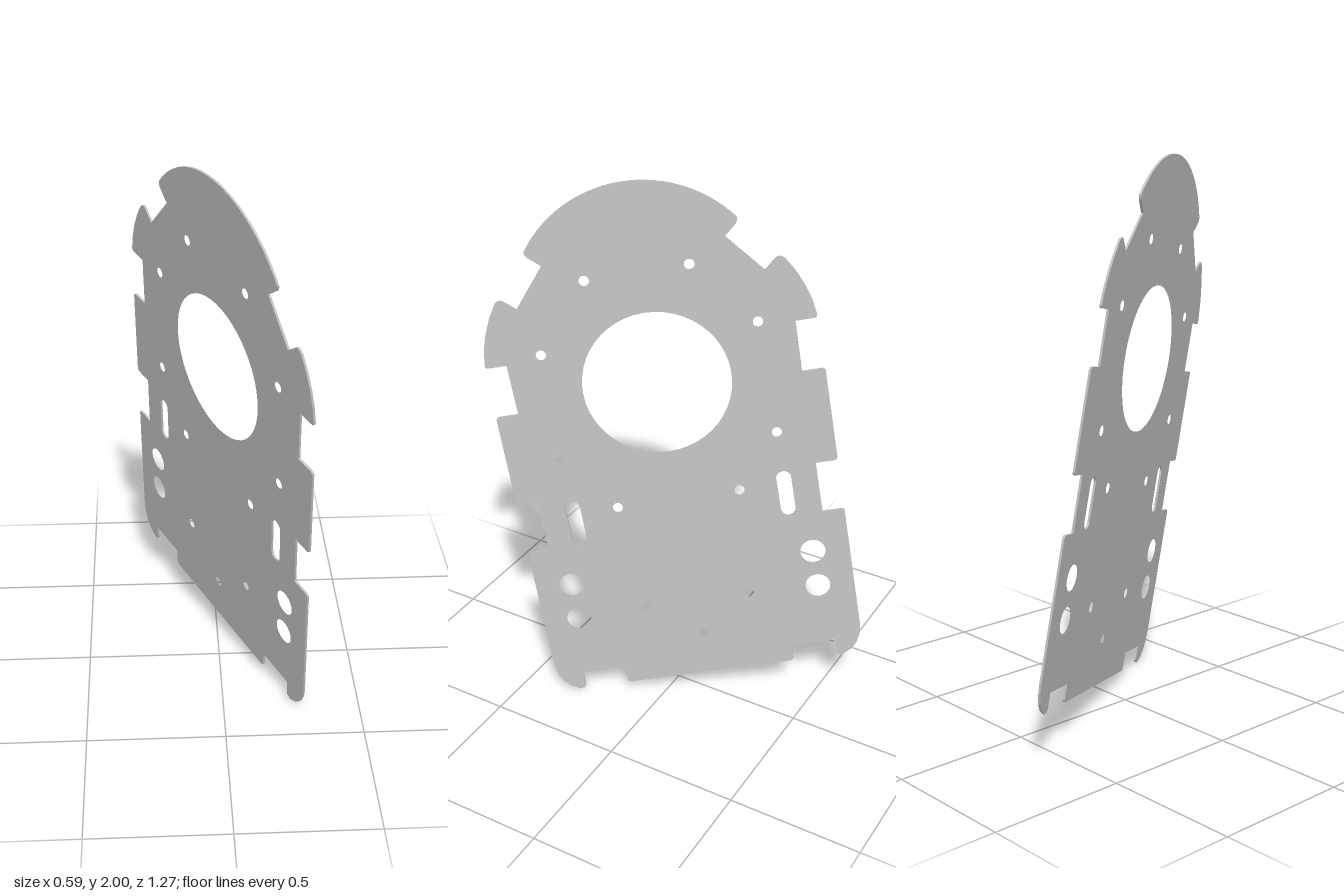
import * as THREE from 'three';

const THICKNESS = 0.008;

// Right half of the outline, top to bottom: [across, along, corner radius]
function halfOutline() {
  const pts = [];
  // domed head: arc of radius 0.46
  for (let i = 1; i <= 14; i++) {
    const a = (i / 14) * 0.925;
    pts.push([0.46 * Math.sin(a), 0.558 + 0.46 * Math.cos(a), 0]);
  }
  pts.push(
    [0.364, 0.818, 0.008], [0.317, 0.777, 0],                          // notch under the head
    [0.434, 0.638, 0], [0.486, 0.683, 0.016],                          // shoulder ear
    [0.507, 0.668, 0], [0.537, 0.618, 0], [0.562, 0.562, 0], [0.579, 0.507, 0],
    [0.590, 0.441, 0.014], [0.512, 0.441, 0],
    [0.510, 0.252, 0], [0.592, 0.252, 0.014],                          // middle tab
    [0.592, -0.105, 0.014], [0.512, -0.105, 0],
    [0.512, -0.303, 0], [0.592, -0.303, 0.014],                        // lower side
    [0.592, -0.800, 0], [0.586, -0.837, 0], [0.571, -0.872, 0],        // rounded foot
    [0.548, -0.900, 0], [0.512, -0.919, 0], [0.488, -0.915, 0.014],
    [0.488, -0.849, 0], [0.325, -0.849, 0], [0.323, -0.917, 0.014],    // bottom lip
  );
  return pts;
}

// Closed shape with a curve at each corner that has a radius
function roundedShape(pts) {
  const shape = new THREE.Shape();
  const n = pts.length;
  pts.forEach(([x, y, r], i) => {
    const p = new THREE.Vector2(x, y);
    const toward = (q) => new THREE.Vector2(q[0], q[1]).sub(p).setLength(r).add(p);
    const a = r ? toward(pts[(i + n - 1) % n]) : p;
    if (i === 0) shape.moveTo(a.x, a.y);
    else shape.lineTo(a.x, a.y);
    if (r) {
      const b = toward(pts[(i + 1) % n]);
      shape.quadraticCurveTo(x, y, b.x, b.y);
    }
  });
  shape.closePath();
  return shape;
}

function roundHole(x, y, r) {
  return new THREE.Path().absarc(x, y, r, 0, Math.PI * 2, true);
}

function slotHole(x, y, r, length) {
  const h = length / 2 - r;
  const path = new THREE.Path();
  path.absarc(x, y + h, r, 0, Math.PI, false);
  path.absarc(x, y - h, r, Math.PI, Math.PI * 2, false);
  path.closePath();
  return path;
}

export function createModel() {
  const group = new THREE.Group();
  group.name = 'mountingPlate';
  const grey = new THREE.MeshStandardMaterial({ color: 0xc0c0c0 });
  grey.name = 'plate grey';

  const right = halfOutline();
  const left = right.map(([x, y, r]) => [-x, y, r]).reverse();
  const shape = roundedShape([[0, 1.018, 0], ...right, ...left]);

  // large opening, centre screw hole and the one uneven pair
  shape.holes.push(
    roundHole(0, 0.29, 0.265), roundHole(0, -0.745, 0.018),
    roundHole(0.391, 0.038, 0.018), roundHole(-0.402, 0.063, 0.018),
  );
  // mirrored screw holes, cable holes and slots
  for (const s of [-1, 1]) {
    for (const [x, y] of [[0.183, 0.702], [0.384, 0.46], [0.225, -0.168], [0.198, -0.596]])
      shape.holes.push(roundHole(s * x, y, 0.018));
    for (const y of [-0.459, -0.605]) shape.holes.push(roundHole(s * 0.456, y, 0.046));
    shape.holes.push(slotHole(s * 0.39, -0.209, 0.027, 0.18));
  }

  const geometry = new THREE.ExtrudeGeometry(shape, {
    depth: THICKNESS, bevelEnabled: false, curveSegments: 24,
  });
  geometry.translate(0, 0, -THICKNESS / 2);

  // lean the plate: its across, along and facing directions
  const lean = new THREE.Matrix4().makeBasis(
    new THREE.Vector3(-0.478, 0.179, -0.859),
    new THREE.Vector3(-0.017, 0.981, 0.200),
    new THREE.Vector3(0.878, 0.110, -0.465),
  ).setPosition(-0.006, 0.992, 0.037);
  geometry.applyMatrix4(lean);

  const plate = new THREE.Mesh(geometry, grey);
  plate.name = 'plate';
  group.add(plate);
  return group;
}
